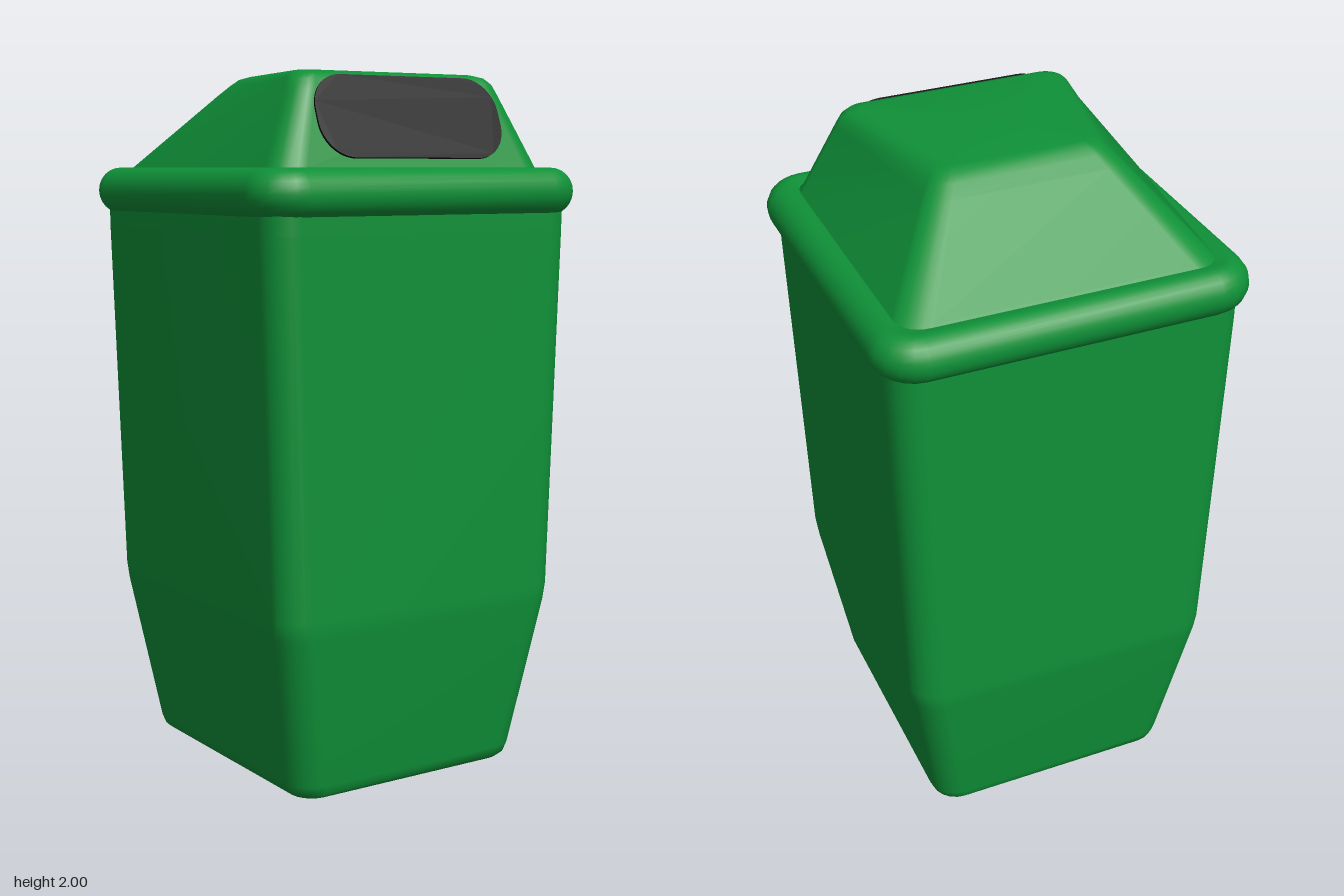
import * as THREE from 'three';

const green = new THREE.MeshStandardMaterial({ color: 0x0f9138 });
const black = new THREE.MeshStandardMaterial({ color: 0x0b0b0b });

// Rounded four-sided ring: half widths at front and back, z range, corner radius
function ring([y, wFront, wBack, zFront, zBack, r], segments = 5) {
  const corners = [
    [wFront - r, zFront - r, 0], [-wFront + r, zFront - r, 1],
    [-wBack + r, zBack + r, 2], [wBack - r, zBack + r, 3],
  ];
  const points = [];
  for (const [cx, cz, quarter] of corners) {
    for (let i = 0; i <= segments; i++) {
      const a = (quarter + i / segments) * Math.PI / 2;
      points.push([cx + r * Math.cos(a), y, cz + r * Math.sin(a)]);
    }
  }
  return points;
}

// Smooth skin over rings listed from bottom to top, with optional end caps
function loft(name, sections, { bottom, top } = {}) {
  const rings = sections.map((s) => ring(s));
  const n = rings[0].length;
  const positions = rings.flat(2);
  const index = [];
  for (let j = 0; j < rings.length - 1; j++) {
    for (let i = 0; i < n; i++) {
      const a = j * n + i, b = j * n + (i + 1) % n;
      index.push(a, a + n, b, b, a + n, b + n);
    }
  }
  const cap = (start, centre, up) => {
    const c = positions.length / 3;
    positions.push(...centre);
    for (let i = 0; i < n; i++) {
      const a = start + i, b = start + (i + 1) % n;
      if (up) index.push(a, c, b);
      else index.push(a, b, c);
    }
  };
  if (bottom) cap(0, bottom, false);
  if (top) cap((rings.length - 1) * n, top, true);
  const geometry = new THREE.BufferGeometry();
  geometry.setAttribute('position', new THREE.Float32BufferAttribute(positions, 3));
  geometry.setIndex(index);
  geometry.computeVertexNormals();
  const mesh = new THREE.Mesh(geometry, green);
  mesh.name = name;
  return mesh;
}

const even = (y, w, d, r) => [y, w, w, d, -d, r];

export function createModel() {
  const group = new THREE.Group();
  group.name = 'litterBin';

  // Tapered body, narrower towards the foot
  group.add(loft('body', [
    even(0, 0.33, 0.385, 0.05),
    even(0.005, 0.355, 0.41, 0.065),
    even(0.018, 0.372, 0.425, 0.075),
    even(0.045, 0.383, 0.433, 0.08),
    even(0.48, 0.457, 0.496, 0.08),
    even(0.53, 0.463, 0.5, 0.08),
    even(1.56, 0.499, 0.5, 0.08),
    even(1.64, 0.5, 0.5, 0.08),
  ], { bottom: [0, 0, 0] }));

  // Rolled rim around the mouth
  const rim = [];
  for (let i = 0; i <= 12; i++) {
    const a = -Math.PI / 2 + (i / 12) * Math.PI;
    const w = 0.47 + 0.065 * Math.cos(a);
    rim.push(even(1.668 + 0.067 * Math.sin(a), w, w, 0.06 + 0.065 * Math.cos(a)));
  }
  rim.push(even(1.725, 0.43, 0.43, 0.05));
  group.add(loft('rim', rim));

  // Hooded lid with a long slope at the back
  group.add(loft('lid', [
    [1.715, 0.462, 0.465, 0.462, -0.47, 0.08],
    [1.735, 0.444, 0.448, 0.444, -0.445, 0.08],
    [1.94, 0.352, 0.28, 0.369, -0.215, 0.06],
    [1.968, 0.338, 0.254, 0.357, -0.184, 0.055],
    [1.985, 0.32, 0.235, 0.341, -0.162, 0.05],
    [1.994, 0.29, 0.208, 0.312, -0.135, 0.04],
  ], { top: [0, 2, 0.09] }));

  // Dark rounded opening on the sloping front of the lid
  const w = 0.305, h = 0.118, r = 0.1;
  const slot = new THREE.Shape();
  slot.absarc(w - r, h - r, r, 0, Math.PI / 2);
  slot.absarc(-w + r, h - r, r, Math.PI / 2, Math.PI);
  slot.absarc(-w + r, -h + r, r, Math.PI, Math.PI * 1.5);
  slot.absarc(w - r, -h + r, r, Math.PI * 1.5, Math.PI * 2);
  const opening = new THREE.Mesh(
    new THREE.ExtrudeGeometry(slot, { depth: 0.015, bevelEnabled: false, curveSegments: 10 }), black);
  opening.name = 'opening';
  opening.geometry.translate(0, 0, -0.01);
  opening.rotation.x = -Math.atan2(0.085, 0.22);
  opening.position.set(0, 1.87, 0.3955);
  group.add(opening);

  return group;
}
